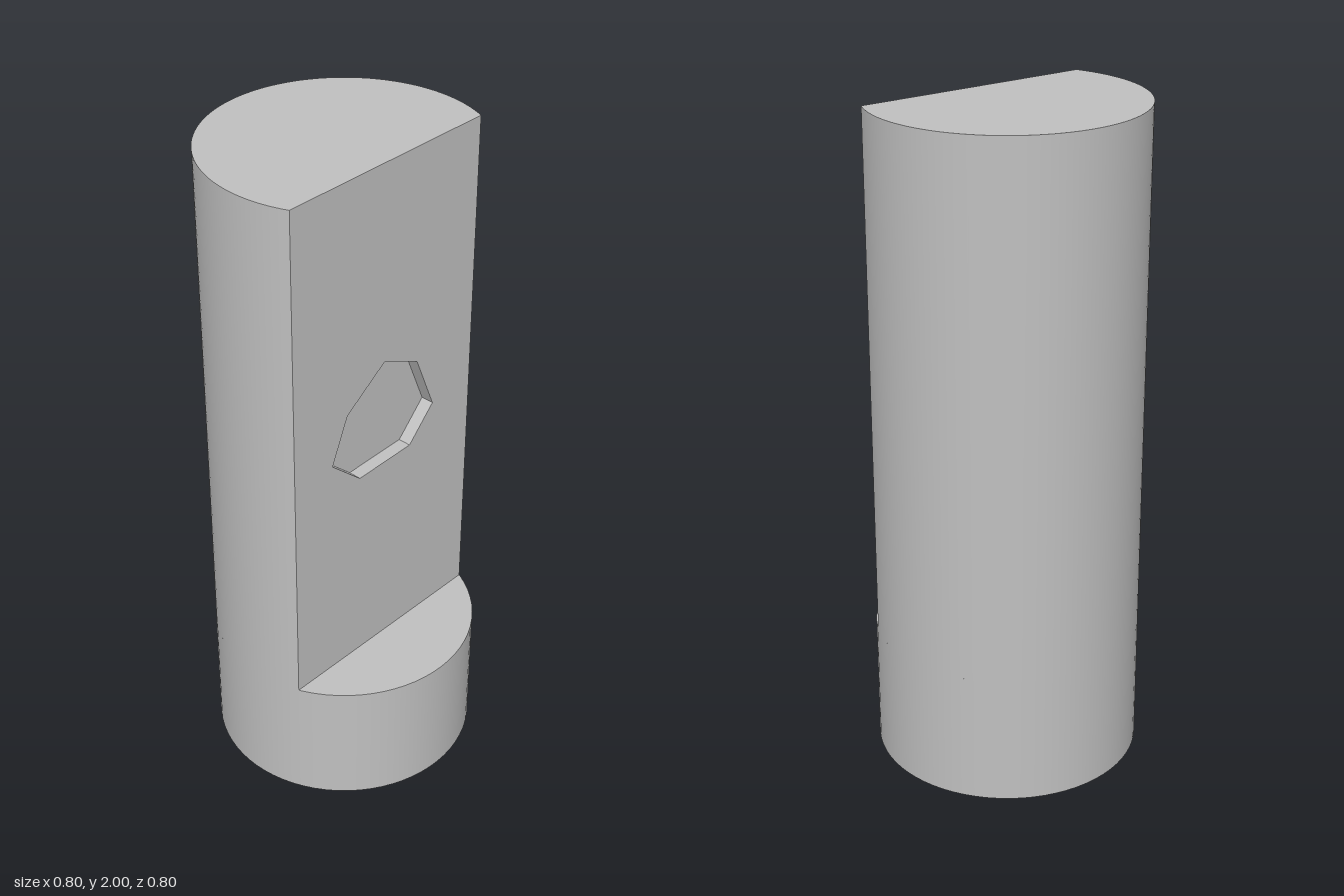
import * as THREE from 'three';

const R = 0.4, H = 2, BASE = 0.4; // radius, total height, height of the full round base
const FLAT = 0.16, DEPTH = 0.04; // z of the cut face, depth of the pocket
const SEG = 72;

export function createModel() {
  const group = new THREE.Group();
  const grey = new THREE.MeshStandardMaterial({ color: 0xc0c0c0 });
  grey.name = 'plain grey';

  const add = (name, geometry, y = 0, z = 0) => {
    const mesh = new THREE.Mesh(geometry, grey);
    mesh.name = name;
    mesh.position.set(0, y, z);
    group.add(mesh);
  };

  // Full round base; its top forms the ledge
  add('roundBase', new THREE.CylinderGeometry(R, R, BASE, SEG), BASE / 2);

  // Curved wall of the upper shaft, open where the flat is cut
  const cut = Math.acos(FLAT / R);
  add('shaftWall', new THREE.CylinderGeometry(R, R, H - BASE, SEG, 1, true, cut, 2 * (Math.PI - cut)), (H + BASE) / 2);

  // D-shaped top
  const rise = Math.asin(FLAT / R);
  const capShape = new THREE.Shape();
  capShape.absarc(0, 0, R, -rise, Math.PI + rise, false);
  add('shaftTop', new THREE.ShapeGeometry(capShape, SEG).rotateX(-Math.PI / 2), H);

  // Irregular seven-sided pocket outline, clockwise from its peak
  const outline = [
    [-0.007, 1.388], [0.13, 1.325], [0.204, 1.147], [0.107, 1.046],
    [-0.105, 1.04], [-0.217, 1.14], [-0.157, 1.282],
  ].map(([x, y]) => new THREE.Vector2(x, y));

  // Flat face with the pocket opening
  const half = R * Math.sin(cut);
  const face = new THREE.Shape([
    new THREE.Vector2(-half, BASE), new THREE.Vector2(half, BASE),
    new THREE.Vector2(half, H), new THREE.Vector2(-half, H),
  ]);
  face.holes.push(new THREE.Path(outline));
  add('flatFace', new THREE.ShapeGeometry(face), 0, FLAT);

  // Pocket floor and inward-facing walls
  add('pocketFloor', new THREE.ShapeGeometry(new THREE.Shape(outline)), 0, FLAT - DEPTH);
  const walls = [];
  outline.forEach((a, i) => {
    const b = outline[(i + 1) % outline.length];
    walls.push(a.x, a.y, 0, a.x, a.y, -DEPTH, b.x, b.y, -DEPTH);
    walls.push(a.x, a.y, 0, b.x, b.y, -DEPTH, b.x, b.y, 0);
  });
  const wallGeometry = new THREE.BufferGeometry();
  wallGeometry.setAttribute('position', new THREE.Float32BufferAttribute(walls, 3));
  wallGeometry.computeVertexNormals();
  add('pocketWalls', wallGeometry, 0, FLAT);

  return group;
}
